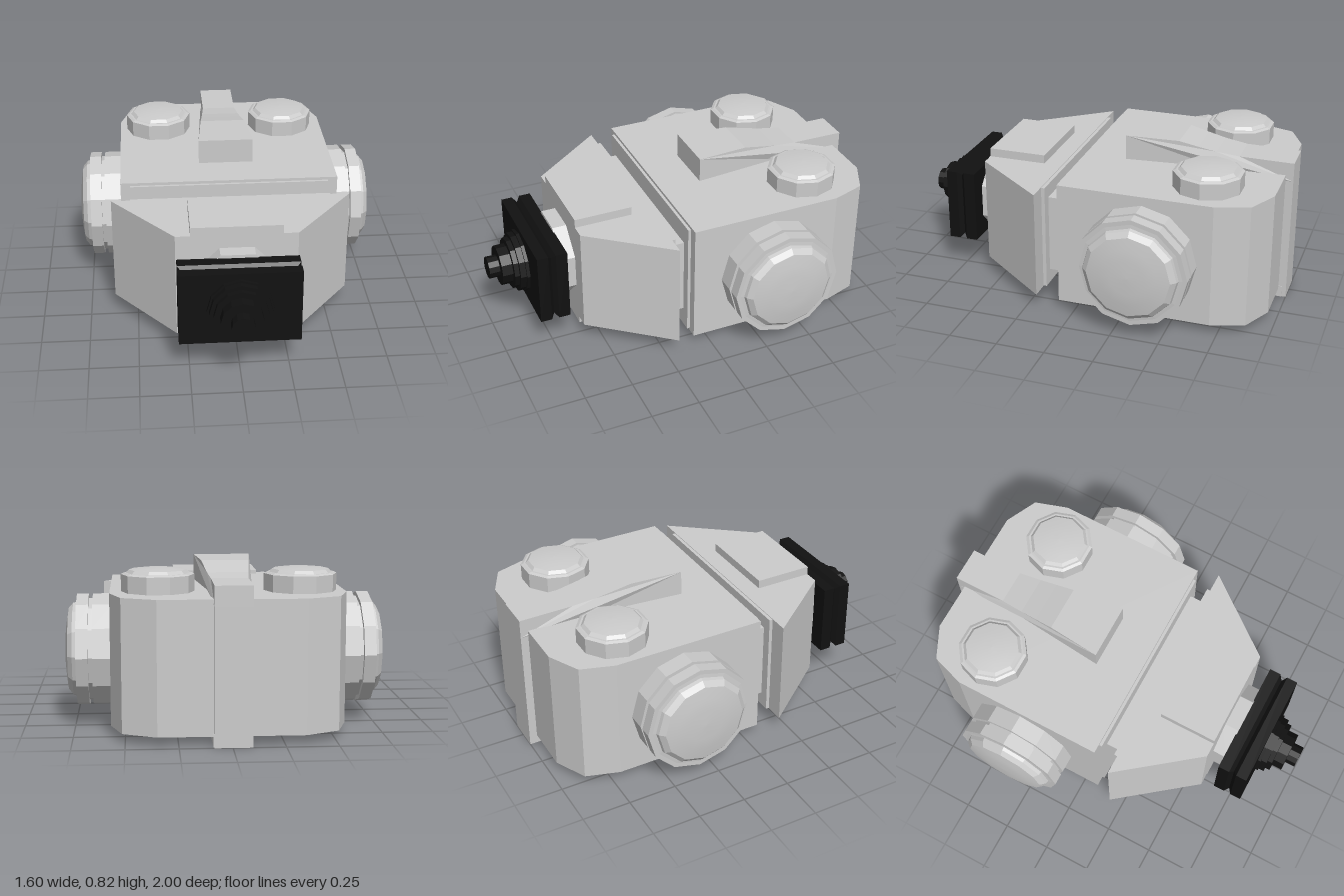
import * as THREE from 'three';

export function createModel() {
  const model = new THREE.Group();
  const flat = new THREE.MeshStandardMaterial({ color: 0xcccccc, flatShading: true });
  const smooth = new THREE.MeshStandardMaterial({ color: 0xcccccc });
  const black = new THREE.MeshStandardMaterial({ color: 0x111111, flatShading: true });

  const add = (name, geometry, material = flat, parent = model) => {
    const mesh = new THREE.Mesh(geometry, material);
    mesh.name = name;
    parent.add(mesh);
    return mesh;
  };
  // box given by its min/max extents
  const box = (name, x0, x1, y0, y1, z0, z1, material) => {
    const m = add(name, new THREE.BoxGeometry(x1 - x0, y1 - y0, z1 - z0), material);
    m.position.set((x0 + x1) / 2, (y0 + y1) / 2, (z0 + z1) / 2);
    return m;
  };
  // plan outline as [x, z] for the +x half, front to back, mirrored and raised from y0 to y1
  const slab = (name, half, y0, y1, material) => {
    const mirrored = half.map(([x, z]) => [-x, z]).reverse();
    const shape = new THREE.Shape([...half, ...mirrored].map(([x, z]) => new THREE.Vector2(x, -z)));
    const g = new THREE.ExtrudeGeometry(shape, { depth: y1 - y0, bevelEnabled: false });
    g.rotateX(-Math.PI / 2).translate(0, y0, 0);
    return add(name, g, material);
  };
  const lathe = (points, sides) =>
    new THREE.LatheGeometry(points.map(([r, y]) => new THREE.Vector2(r, y)), sides);

  // main body with chamfered rear corners
  slab('body', [[0.57, 0.085], [0.57, -0.71], [0.515, -0.88], [0.35, -0.96]], 0.045, 0.69);

  // neck between body and head, with a lip on each side
  box('bodyLip', -0.52, 0.52, 0.06, 0.675, 0.07, 0.1);
  box('neck', -0.47, 0.47, 0.16, 0.57, 0.09, 0.19);
  box('headLip', -0.52, 0.52, 0.085, 0.64, 0.17, 0.2);

  // wedge-shaped head with a plate above and below
  slab('head', [[0.305, 0.59], [0.62, 0.188]], 0.083, 0.643);
  box('headTopPlate', -0.23, 0.23, 0.63, 0.688, 0.285, 0.59);
  box('headBottomPlate', -0.23, 0.23, 0.045, 0.1, 0.285, 0.59);

  // octagonal mount
  const mount = add('mount', new THREE.CylinderGeometry(0.227, 0.227, 0.09, 8));
  mount.geometry.rotateY(Math.PI / 8).rotateX(Math.PI / 2);
  mount.position.set(0, 0.362, 0.62);

  // black front plate with a V-groove round its edge
  const layers = [[0.66, 0], [0.72, 0], [0.74, 0.022], [0.76, 0], [0.818, 0]];
  const block = new THREE.BoxGeometry(2, 2, 1, 1, 1, layers.length - 1);
  const p = block.attributes.position;
  for (let i = 0; i < p.count; i++) {
    const [z, inset] = layers[Math.round((p.getZ(i) + 0.5) * (layers.length - 1))];
    p.setXYZ(i, p.getX(i) * (0.302 - inset), 0.362 + p.getY(i) * (0.193 - inset), z);
  }
  block.computeVertexNormals();
  add('frontPlate', block, black);

  // stepped nozzle
  const nozzle = add('nozzle', lathe([
    [0.165, 0.8], [0.165, 0.835], [0.155, 0.835], [0.155, 0.865], [0.135, 0.865], [0.135, 0.89],
    [0.105, 0.89], [0.105, 0.945], [0.058, 0.945], [0.058, 1], [0, 1],
  ], 12), black);
  nozzle.geometry.rotateX(Math.PI / 2);
  nozzle.position.y = 0.362;

  // tapering, sloped ridge along the top
  const profile = [[-0.135, 0.66], [-0.135, 0.82], [-0.41, 0.815], [-0.51, 0.793], [-0.6, 0.775],
    [-0.72, 0.76], [-1, 0.758], [-1, 0.66], [-0.72, 0.66]];
  const ridge = new THREE.ExtrudeGeometry(
    new THREE.Shape(profile.map(([z, y]) => new THREE.Vector2(z, y))), { depth: 1, bevelEnabled: false });
  const q = ridge.attributes.position;
  for (let i = 0; i < q.count; i++) {
    const z = q.getX(i);
    const halfWidth = 0.09 + 0.055 * Math.max(0, (z + 0.72) / 0.585);
    q.setXYZ(i, (0.5 - q.getZ(i)) * 2 * halfWidth - 0.004, q.getY(i), z);
  }
  ridge.computeVertexNormals();
  add('topRidge', ridge);
  box('rearSpine', -0.094, 0.086, 0, 0.7, -1, -0.94);
  box('bottomRail', -0.09, 0.09, 0, 0.06, -0.98, -0.135);

  // caps on the top of the body
  for (const [side, x] of [['left', 0.337], ['right', -0.355]]) {
    const cap = new THREE.Group();
    cap.name = side + 'TopCap';
    add('capRing', lathe([[0, 0], [0.178, 0], [0.178, 0.083], [0.163, 0.09], [0.153, 0.09], [0.138, 0.105]], 10),
      flat, cap);
    add('capDome', lathe([[0.138, 0.105], [0.09, 0.111], [0.045, 0.114], [0, 0.115]], 10), smooth, cap);
    cap.rotation.y = Math.PI / 2;
    cap.position.set(x, 0.69, -0.625);
    model.add(cap);
  }

  // large grooved hubs on both sides
  for (const s of [1, -1]) {
    const hub = new THREE.Group();
    hub.name = s > 0 ? 'leftHub' : 'rightHub';
    add('hubRings', lathe([
      [0.285, 0], [0.285, 0.1], [0.262, 0.1], [0.262, 0.12], [0.285, 0.12], [0.285, 0.18],
      [0.262, 0.18], [0.243, 0.182], [0.238, 0.2], [0.212, 0.223],
    ], 12), flat, hub);
    add('hubDome', lathe([[0.212, 0.223], [0.15, 0.233], [0.09, 0.239], [0, 0.241]], 12), smooth, hub);
    hub.rotation.z = -s * Math.PI / 2;
    hub.position.set(s * 0.56, 0.36, -0.352);
    model.add(hub);
  }

  return model;
}
